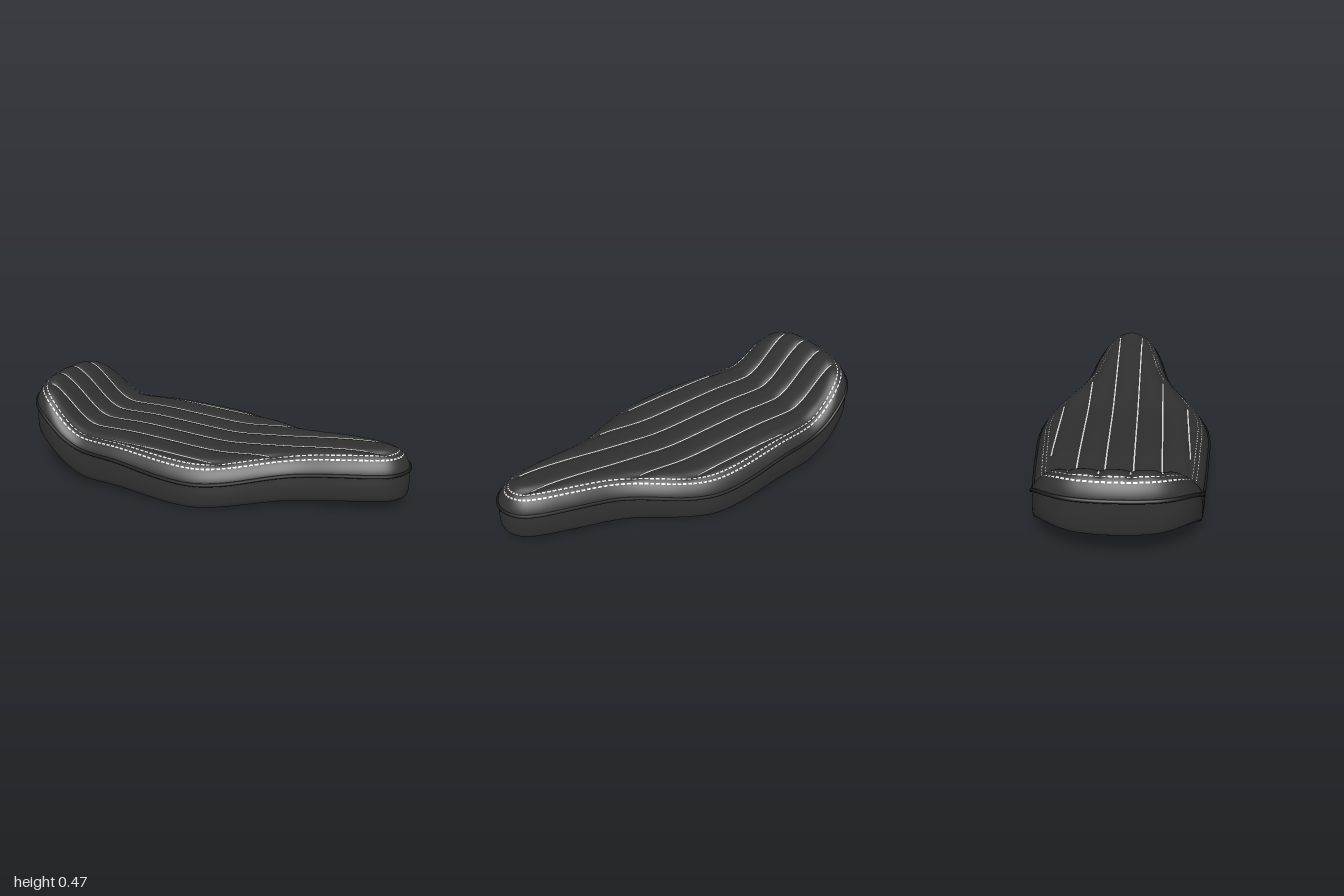
import * as THREE from 'three';
import { mergeGeometries } from 'three/addons/utils/BufferGeometryUtils.js';

// Smooth curve y(x) through a few [x, y] points
function profile(pts) {
  const slope = pts.map((p, i) => {
    const a = pts[Math.max(i - 1, 0)], b = pts[Math.min(i + 1, pts.length - 1)];
    return (b[1] - a[1]) / (b[0] - a[0]);
  });
  return (x) => {
    let i = 0;
    while (i < pts.length - 2 && x > pts[i + 1][0]) i++;
    const [x0, y0] = pts[i], [x1, y1] = pts[i + 1], h = x1 - x0;
    const t = THREE.MathUtils.clamp((x - x0) / h, 0, 1), t2 = t * t, t3 = t2 * t;
    return y0 * (2 * t3 - 3 * t2 + 1) + h * slope[i] * (t3 - 2 * t2 + t)
      + y1 * (3 * t2 - 2 * t3) + h * slope[i + 1] * (t3 - t2);
  };
}

// Grid surface from fn(i, j) -> [x, y, z]; it faces dv x du
function surface(nu, nv, fn) {
  const pos = [], index = [];
  for (let i = 0; i <= nu; i++) for (let j = 0; j <= nv; j++) pos.push(...fn(i, j));
  for (let i = 0; i < nu; i++) for (let j = 0; j < nv; j++) {
    const a = i * (nv + 1) + j, c = a + nv + 1;
    index.push(a, a + 1, c, c, a + 1, c + 1);
  }
  const g = new THREE.BufferGeometry();
  g.setAttribute('position', new THREE.Float32BufferAttribute(pos, 3));
  g.setIndex(index);
  g.computeVertexNormals();
  return g;
}

// Side profiles along the length
const topLine = profile([[-1, 0.49], [-0.95, 0.485], [-0.9, 0.472], [-0.85, 0.442], [-0.8, 0.4], [-0.7, 0.302], [-0.65, 0.27],
  [-0.6, 0.258], [-0.4, 0.256], [-0.2, 0.243], [0, 0.229], [0.1, 0.228], [0.2, 0.236], [0.4, 0.256], [0.6, 0.28], [0.8, 0.296], [1, 0.302]]);
const seamLine = profile([[-1, 0.38], [-0.9, 0.35], [-0.8, 0.29], [-0.7, 0.22], [-0.6, 0.183], [-0.4, 0.17],
  [-0.2, 0.145], [0, 0.127], [0.15, 0.13], [0.3, 0.147], [0.5, 0.17], [0.7, 0.188], [1, 0.2]]);
const bottomLine = profile([[-1, 0.2], [-0.9, 0.198], [-0.8, 0.145], [-0.7, 0.073], [-0.6, 0.033], [-0.4, 0.028],
  [-0.2, 0.013], [0, 0], [0.1, 0.002], [0.3, 0.017], [0.5, 0.031], [0.7, 0.05], [0.85, 0.06], [1, 0.06]]);

// Plan outline, mirrored into a closed loop
const half = [[-0.992, 0], [-0.985, 0.12], [-0.96, 0.22], [-0.9, 0.31], [-0.8, 0.365], [-0.6, 0.393], [-0.35, 0.418], [-0.1, 0.437],
  [0.05, 0.424], [0.2, 0.368], [0.4, 0.26], [0.5, 0.223], [0.7, 0.185], [0.85, 0.15], [0.93, 0.113], [0.975, 0.06], [0.99, 0]];
const loop = [...half, ...half.slice(1, -1).reverse().map(([x, z]) => [x, -z])];
const outline = new THREE.CatmullRomCurve3(loop.map(([x, z]) => new THREE.Vector3(x, 0, z)), true);
outline.arcLengthDivisions = 2000;

const N = 200;
const edge = outline.getSpacedPoints(2 * N);
const side = edge.slice(0, N + 1);
side[0].z = side[N].z = 0;

// Point on the outline moved inwards
function insetPoint(t, inset) {
  const u = ((t % 1) + 1) % 1;
  const p = outline.getPointAt(u), d = outline.getTangentAt(u);
  return [p.x + d.z * inset, p.z - d.x * inset];
}

// Distance in plan from a point to the outline
function edgeDistance(x, z) {
  z = Math.abs(z);
  let best = Infinity;
  for (let i = 0; i < N; i++) {
    const a = side[i], b = side[i + 1], ex = b.x - a.x, ez = b.z - a.z;
    const t = Math.min(1, Math.max(0, ((x - a.x) * ex + (z - a.z) * ez) / (ex * ex + ez * ez)));
    best = Math.min(best, (x - a.x - t * ex) ** 2 + (z - a.z - t * ez) ** 2);
  }
  return Math.sqrt(best);
}

// Cushion height: rounded edge plus lengthwise padded channels
const PITCH = 0.132;
function cushionHeight(x, z) {
  const d = edgeDistance(x, z), t = Math.min(d / 0.12, 1);
  const dome = Math.pow(1 - (1 - t) ** 2, 0.7);
  const u = Math.abs(z / PITCH - Math.round(z / PITCH)) * 2;
  const groove = 0.014 * u ** 3 * THREE.MathUtils.smoothstep(d, 0.045, 0.085);
  const s = seamLine(x);
  return s + (topLine(x) - s) * dome - groove;
}

export function createModel() {
  const material = (name, color, double) => {
    const m = new THREE.MeshStandardMaterial({ color });
    m.name = name;
    if (double) m.side = THREE.DoubleSide;
    return m;
  };
  const vinyl = material('black vinyl', 0x303030);
  const under = material('dark underside', 0x282828);
  const trim = material('dark piping', 0x1c1c1c);
  const thread = material('white thread', 0xd8d8d8, true);

  const seat = new THREE.Group();
  seat.name = 'seat';
  const add = (name, geometry, mat) => {
    const mesh = new THREE.Mesh(geometry, mat);
    mesh.name = name;
    seat.add(mesh);
  };

  // Padded top with the raised rear lip
  const rows = 180;
  add('cushion', surface(N, rows, (i, j) => {
    const u = (2 * j) / rows - 1;
    const { x, z: w } = side[i];
    const z = w * (0.65 * u + 0.35 * Math.sin((u * Math.PI) / 2));
    return [x, Math.abs(u) === 1 ? seamLine(x) : cushionHeight(x, z), z];
  }), vinyl);

  // Side wall: [inset, share of height, extra height], from seam to bottom
  const wall = [[0.004, 1, 0], [0.005, 1, -0.014], [0, 0.75, 0], [-0.003, 0.45, 0], [-0.003, 0.1, 0.012],
    [0.001, 0, 0.008], [0.006, 0, 0.002], [0.014, 0, 0]];
  add('sideWall', surface(2 * N, wall.length - 1, (i, j) => {
    const [inset, share, extra] = wall[j];
    const [x, z] = insetPoint(i / (2 * N), inset);
    const b = bottomLine(x);
    return [x, b + (seamLine(x) - b) * share + extra, z];
  }), vinyl);

  // Underside
  add('underside', surface(N, 1, (i, j) => {
    const [x, z] = insetPoint(i / (2 * N), 0.014);
    return [x, bottomLine(x), j ? -z : z];
  }), under);

  // Piping along the seam
  const pipePath = new THREE.CatmullRomCurve3(
    edge.slice(0, -1).filter((p, i) => i % 4 === 0).map((p) => new THREE.Vector3(p.x, seamLine(p.x), p.z)), true);
  add('piping', new THREE.TubeGeometry(pipePath, 300, 0.009, 8, true), trim);

  // Straight seams in the channel grooves
  const seams = [];
  for (let k = -2.5; k <= 2.5; k++) {
    const z = k * PITCH, xs = [];
    for (let x = -0.98; x <= 0.98; x += 0.01) if (edgeDistance(x, z) > 0.078 && Math.abs(z) < widthAt(x)) xs.push(x);
    if (xs.length < 2) continue;
    seams.push(surface(xs.length - 1, 1, (i, j) => [xs[i], cushionHeight(xs[i], z) + 0.004, z + (j - 0.5) * 0.007]));
  }
  add('channelSeams', mergeGeometries(seams), thread);

  // Double row of stitches around the edge
  const stitches = [], count = 176;
  for (const inset of [0.037, 0.057]) for (let k = 0; k < count; k++) {
    stitches.push(surface(2, 1, (i, j) => {
      const [x, z] = insetPoint((k + 0.34 * i) / count, inset + (0.5 - j) * 0.006);
      return [x, cushionHeight(x, z) + 0.004, z];
    }));
  }
  add('edgeStitching', mergeGeometries(stitches), thread);
  return seat;
}

// Half width of the outline at x
function widthAt(x) {
  const i = side.findIndex((p) => p.x >= x);
  return i < 0 ? 0 : side[i].z;
}
